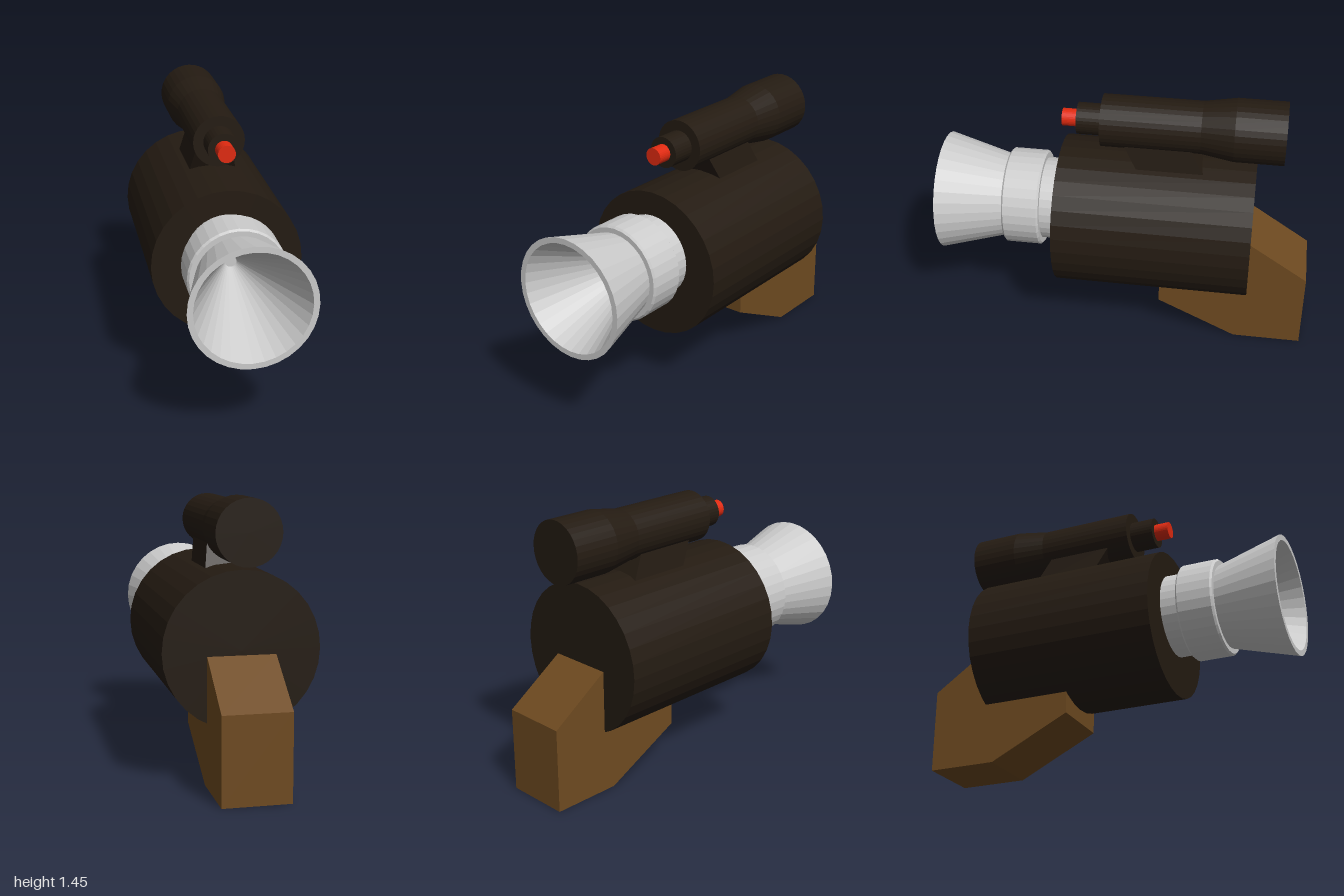
import * as THREE from 'three';

const material = (color) => new THREE.MeshStandardMaterial({ color, flatShading: true });

export function createModel() {
  const model = new THREE.Group();
  const dark = material(0x241b12);
  const brown = material(0x6e4a20);
  const grey = material(0xcccccc);
  const red = material(0xe02a10);

  function add(name, geometry, mat) {
    const mesh = new THREE.Mesh(geometry, mat);
    mesh.name = name;
    model.add(mesh);
    return mesh;
  }

  // Turned part along z: profile of [radius, z], listed from back to front
  function turned(name, y, profile, mat, sides = 32) {
    const points = profile.map(([r, z]) => new THREE.Vector2(r, z));
    const geometry = new THREE.LatheGeometry(points, sides);
    geometry.rotateX(Math.PI / 2);
    geometry.translate(0, y, 0);
    return add(name, geometry, mat);
  }

  // Main body drum
  turned('body', 0.69, [[0, -0.685], [0.4, -0.685], [0.4, 0.355], [0, 0.355]], dark);

  // Barrel: neck, bevelled collar, flared muzzle and its hollow cone
  turned('barrelNeck', 0.74, [[0, 0.3], [0.222, 0.3], [0.222, 0.46]], grey);
  turned('barrelCollar', 0.74, [
    [0.222, 0.45], [0.25, 0.45], [0.26, 0.46], [0.26, 0.64], [0.25, 0.65], [0.222, 0.65],
  ], grey);
  turned('muzzle', 0.74, [
    [0.222, 0.645], [0.32, 1], [0.29, 1], [0.03, 0.45], [0, 0.45],
  ], grey);

  // Scope: wide rear, taper, tube, front step and red tip
  turned('scope', 1.28, [
    [0, -0.82], [0.165, -0.82], [0.165, -0.56], [0.137, -0.39], [0.137, 0.13],
    [0.083, 0.13], [0.083, 0.26], [0, 0.26],
  ], dark);
  turned('scopeTip', 1.28, [[0, 0.25], [0.046, 0.25], [0.046, 0.34], [0, 0.34]], red);

  // Scope mount: box narrowed and pushed forward towards the top
  const mount = new THREE.BoxGeometry(0.26, 0.17, 0.35);
  const p = mount.attributes.position;
  for (let i = 0; i < p.count; i++) {
    if (p.getY(i) > 0) {
      p.setX(i, p.getX(i) * 0.76);
      p.setZ(i, p.getZ(i) + 0.09);
    }
  }
  mount.translate(0, 1.125, -0.25);
  mount.computeVertexNormals();
  add('scopeMount', mount, dark);

  // Stock: side outline in (-z, y), extruded across x
  const outline = [[0.2, 0.335], [0.2, 0.215], [0.63, 0], [1, 0], [1, 0.45], [0.68, 0.67], [0.68, 0.335]];
  const shape = new THREE.Shape(outline.map(([x, y]) => new THREE.Vector2(x, y)));
  const stock = new THREE.ExtrudeGeometry(shape, { depth: 0.35, bevelEnabled: false });
  stock.translate(0, 0, -0.175);
  stock.rotateY(Math.PI / 2);
  add('stock', stock, brown);

  return model;
}
